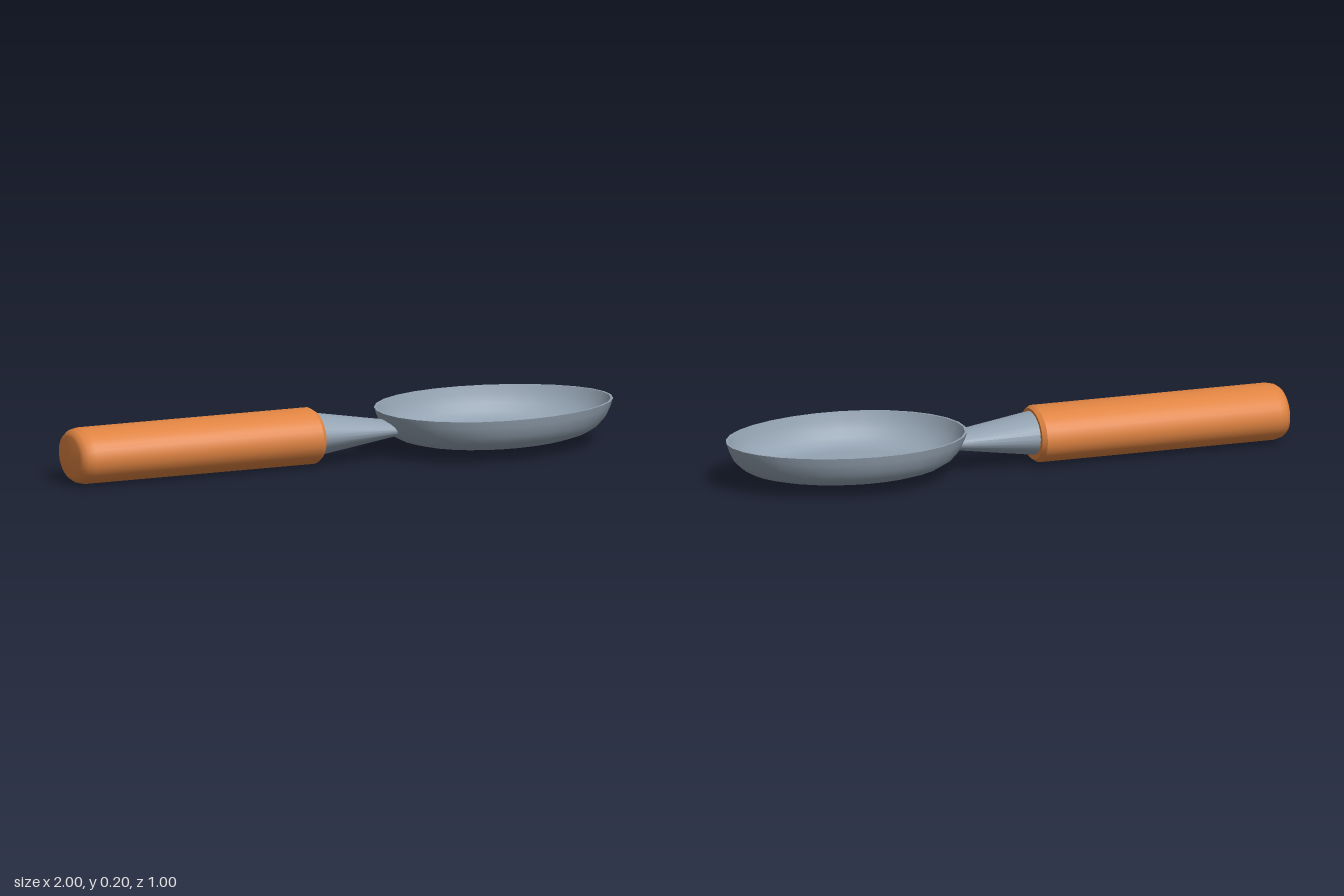
import * as THREE from 'three';
import { toCreasedNormals } from 'three/addons/utils/BufferGeometryUtils.js';

const vec = (pairs) => pairs.map(([x, y]) => new THREE.Vector2(x, y));

// Move every vertex by a rule, then smooth all but the sharp edges
function shape(geometry, rule, crease = 0.6) {
  const p = geometry.attributes.position;
  const v = new THREE.Vector3();
  for (let i = 0; i < p.count; i++) {
    v.fromBufferAttribute(p, i);
    rule(v);
    p.setXYZ(i, v.x, v.y, v.z);
  }
  return toCreasedNormals(geometry, crease);
}

export function createModel() {
  const steel = new THREE.MeshStandardMaterial({ name: 'steel', color: 0x93a2b1 });
  const orange = new THREE.MeshStandardMaterial({ name: 'orange', color: 0xe08442 });

  const spoon = new THREE.Group();
  spoon.name = 'spoon';
  const add = (name, geometry, material, y) => {
    const mesh = new THREE.Mesh(geometry, material);
    mesh.name = name;
    mesh.position.set(0, y, 0.03);
    spoon.add(mesh);
  };

  // Grip: oval bar with a rounded butt and a small chamfer at the neck
  const grip = [[0, -1.042], [0.07, -1.042], [0.083, -1.037], [0.094, -1.022], [0.1, -0.995],
    [0.1, -0.115], [0.09, -0.1], [0, -0.1]];
  const gripGeometry = new THREE.LatheGeometry(vec(grip), 32).rotateZ(-Math.PI / 2);
  add('handle', shape(gripGeometry, (v) => { v.z *= 1.3; }), orange, 0.103);

  // Neck: oval taper whose far end follows the bowl wall
  const neckGeometry = new THREE.CylinderGeometry(1, 1, 1, 28, 1, true).rotateZ(-Math.PI / 2);
  add('neck', shape(neckGeometry, (v) => {
    const end = v.x > 0;
    v.y *= end ? 0.03 : 0.08;
    v.z *= end ? 0.07 : 0.1;
    v.x = end ? 0.187 - 0.6 * v.y + 2.2 * v.z * v.z : -0.12;
  }), steel, 0.107);

  // Bowl: outer wall, thin rim, inner wall and floor, on a slightly egg-shaped plan
  const bowl = [[0, 0.037], [0.6, 0.037], [0.7, 0.041], [0.8, 0.053], [0.88, 0.073], [0.94, 0.1],
    [0.98, 0.137], [1, 0.163], [0.98, 0.163], [0.955, 0.134], [0.915, 0.102], [0.86, 0.078],
    [0.8, 0.06], [0.74, 0.051], [0.6, 0.048], [0, 0.048]];
  const bowlGeometry = new THREE.LatheGeometry(vec(bowl), 30);
  add('bowl', shape(bowlGeometry, (v) => {
    const cos = v.x / (Math.hypot(v.x, v.z) || 1);
    v.z *= 0.318 * (1 - 0.07 * cos);
    v.x = 0.599 + 0.441 * v.x;
  }), steel, 0);

  // Lay the spoon diagonally
  spoon.rotation.y = THREE.MathUtils.degToRad(20);
  const model = new THREE.Group();
  model.name = 'model';
  model.add(spoon);
  return model;
}
